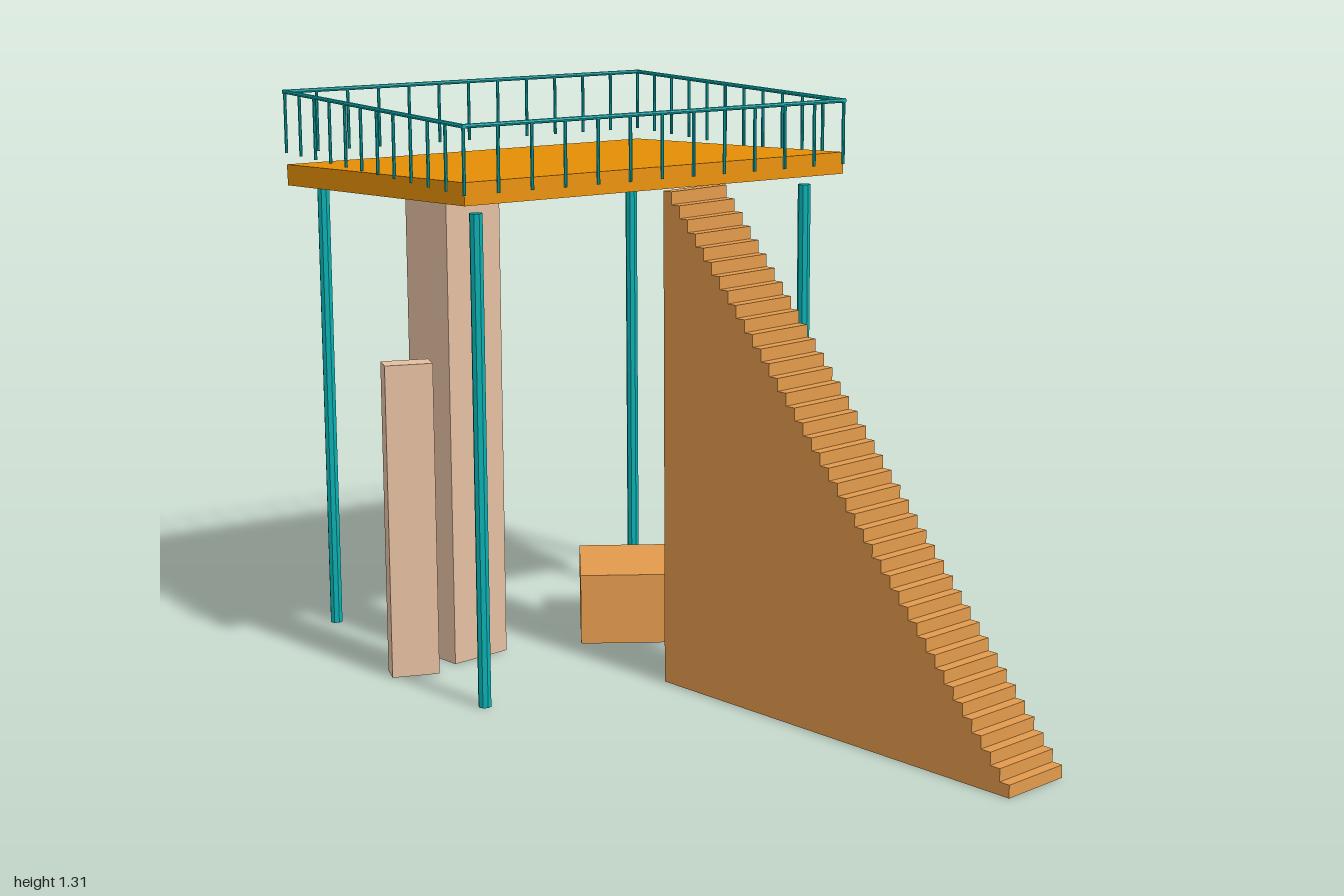
import * as THREE from 'three';

export function createModel() {
  const model = new THREE.Group();
  model.name = 'raisedPlatform';

  const material = (name, color) => {
    const m = new THREE.MeshStandardMaterial({ color });
    m.name = name;
    return m;
  };
  const orange = material('deckOrange', 0xe89004);
  const wood = material('stairWood', 0xe29a4c);
  const pale = material('paleWood', 0xe4bfa1);
  const teal = material('tealMetal', 0x08b0b2);
  teal.flatShading = true;

  const add = (parent, name, geometry, mat, x, y, z, turn = 0) => {
    const mesh = new THREE.Mesh(geometry, mat);
    mesh.name = name;
    mesh.position.set(x, y, z);
    mesh.rotation.y = turn;
    parent.add(mesh);
    return mesh;
  };
  const box = (w, h, d) => new THREE.BoxGeometry(w, h, d);
  const rod = (radius, length) => new THREE.CylinderGeometry(radius, radius, length, 8);

  // Platform, turned about the vertical
  const W = 0.988, D = 0.896;
  const platform = new THREE.Group();
  platform.name = 'platform';
  platform.position.z = -0.468;
  platform.rotation.y = -0.182;
  model.add(platform);

  // Deck slab, sloping down to the back
  const deck = add(platform, 'deck', box(W, 0.05, D), orange, 0, 1.135, 0);
  deck.rotation.x = -0.061;

  // Legs
  const legGeometry = rod(0.015, 1.11);
  for (const sx of [-1, 1]) {
    for (const sz of [-1, 1]) add(platform, 'leg', legGeometry, teal, sx * 0.432, 0.555, sz * 0.382);
  }

  // Level railing: top rails and evenly spaced balusters
  const railing = new THREE.Group();
  railing.name = 'railing';
  platform.add(railing);
  const longRail = rod(0.005, W + 0.01).rotateZ(Math.PI / 2);
  const sideRail = rod(0.005, D + 0.01).rotateX(Math.PI / 2);
  const balusterGeometry = rod(0.004, 0.15);
  const baluster = (x, z) => add(railing, 'baluster', balusterGeometry, teal, x, 1.235, z);
  for (const s of [-1, 1]) {
    add(railing, 'longRail', longRail, teal, 0, 1.306, s * D / 2);
    add(railing, 'sideRail', sideRail, teal, s * W / 2, 1.306, 0);
    for (let i = 0; i <= 12; i++) baluster(W * (i / 12 - 0.5), s * D / 2);
    for (let i = 1; i < 11; i++) baluster(s * W / 2, D * (i / 11 - 0.5));
  }

  // Solid staircase from a stepped side profile
  const steps = 40, run = 1.02 / steps, rise = 1.135 / steps;
  const profile = new THREE.Shape();
  profile.moveTo(1, 0);
  for (let i = 0; i < steps; i++) {
    profile.lineTo(1 - i * run, (i + 1) * rise);
    profile.lineTo(1 - (i + 1) * run, (i + 1) * rise);
  }
  profile.lineTo(1 - steps * run, 0);
  const stairGeometry = new THREE.ExtrudeGeometry(profile, { depth: 0.17, bevelEnabled: false });
  add(model, 'staircase', stairGeometry, wood, 0.085, 0, 0, -Math.PI / 2);

  // Low block beside the stairs
  add(model, 'block', box(0.27, 0.17, 0.346), wood, 0.182, 0.085, -0.357, Math.atan2(0.205, 0.175));

  // Three pillars under the deck
  add(model, 'tallPillar', box(0.155, 1.12, 0.15), pale, -0.277, 0.56, -0.527);
  add(model, 'middlePillar', box(0.064, 0.93, 0.106), pale, -0.274, 0.465, -0.641, Math.atan2(-0.04, 0.05));
  add(model, 'shortPillar', box(0.11, 0.735, 0.055), pale, -0.461, 0.3675, -0.472, Math.atan2(-0.05, 0.098));

  return model;
}
